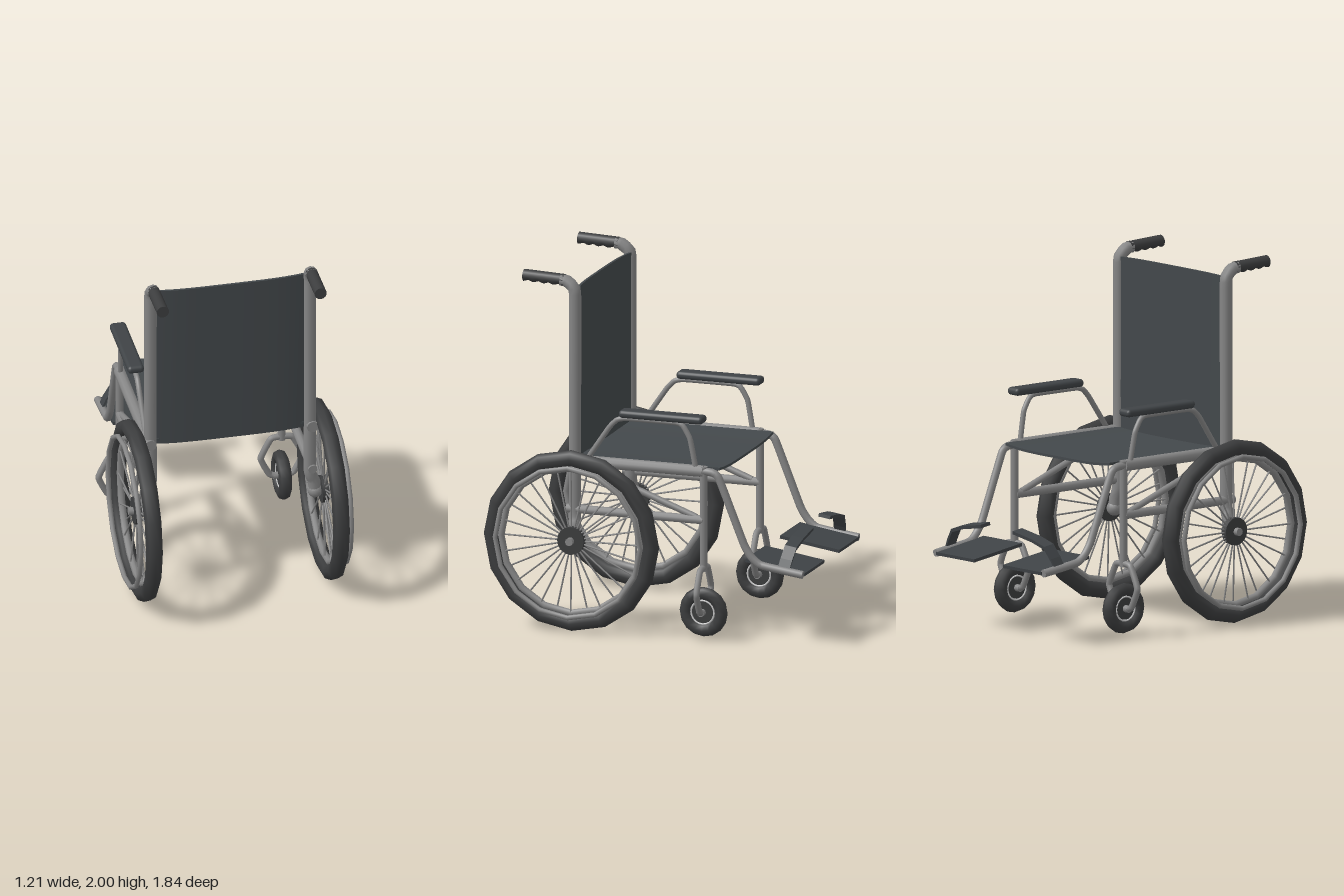
import * as THREE from 'three';
import { mergeGeometries } from 'three/addons/utils/BufferGeometryUtils.js';
import { RoundedBoxGeometry } from 'three/addons/geometries/RoundedBoxGeometry.js';

const paint = (color, side = THREE.FrontSide) => new THREE.MeshStandardMaterial({ color, side });
const metal = paint(0x868686);
const bright = paint(0xdddddd);
const rubber = paint(0x3c3d3e);
const pad = paint(0x3f4346);
const fabric = paint(0x43484b, THREE.DoubleSide);

function add(parent, name, geometry, material, x = 0, y = 0, z = 0) {
  const mesh = new THREE.Mesh(geometry, material);
  mesh.name = name;
  mesh.position.set(x, y, z);
  parent.add(mesh);
  return mesh;
}

// Round bar through a list of [x, y, z] points, closed at both ends
function bar(parent, name, points, r) {
  const pts = points.map(p => new THREE.Vector3(...p));
  const straight = pts.length === 2;
  const curve = straight ? new THREE.LineCurve3(...pts) : new THREE.CatmullRomCurve3(pts, false, 'catmullrom', 0.2);
  const parts = [new THREE.TubeGeometry(curve, straight ? 1 : pts.length * 6, r, 10)];
  for (const t of [0, 1]) {
    const out = curve.getTangentAt(t).multiplyScalar(t ? 1 : -1);
    const turn = new THREE.Quaternion().setFromUnitVectors(new THREE.Vector3(0, 0, 1), out);
    const cap = new THREE.CircleGeometry(r, 10).applyQuaternion(turn);
    const end = curve.getPointAt(t);
    parts.push(cap.translate(end.x, end.y, end.z));
  }
  return add(parent, name, mergeGeometries(parts), metal);
}

// Ring and disc whose axis runs along x
const ring = (R, r, sides, around) => new THREE.TorusGeometry(R, r, sides, around).rotateY(Math.PI / 2);
const disc = (r, width, sides = 16) => new THREE.CylinderGeometry(r, r, width, sides).rotateZ(Math.PI / 2);

function rearWheel(s) {
  const wheel = new THREE.Group();
  wheel.name = 'rearWheel';
  wheel.position.set(s * 0.525, 0.515, 0.41);
  add(wheel, 'tyre', ring(0.464, 0.047, 8, 16), rubber);
  add(wheel, 'rim', ring(0.41, 0.02, 8, 16), metal);
  add(wheel, 'pushRim', ring(0.422, 0.014, 8, 16), metal, s * 0.066);
  add(wheel, 'hub', disc(0.078, 0.035), rubber);
  add(wheel, 'axle', disc(0.022, 0.1, 10), metal, -s * 0.005);
  add(wheel, 'axleMount', new THREE.SphereGeometry(0.043, 14, 10), metal, -s * 0.045);
  const spokes = [];
  const count = 28;
  for (let i = 0; i < count; i++) {
    const spoke = new THREE.CylinderGeometry(0.005, 0.005, 0.35, 5);
    spoke.translate(0, 0.235, 0).rotateZ(i % 2 ? 0.03 : -0.03);
    spokes.push(spoke.rotateX((i / count) * Math.PI * 2));
  }
  add(wheel, 'spokes', mergeGeometries(spokes), metal);
  return wheel;
}

function caster(s) {
  const group = new THREE.Group();
  group.name = 'caster';
  group.position.set(s * 0.455, 0.16, -0.335);
  add(group, 'casterTyre', ring(0.103, 0.037, 8, 16), rubber);
  add(group, 'casterDisc', disc(0.07, 0.035), rubber);
  add(group, 'casterAxle', disc(0.02, 0.1, 10), metal);
  for (const d of [-1, 1]) {
    add(group, 'casterRim', ring(0.067, 0.005, 6, 20), bright, d * 0.018);
    bar(group, 'casterFork', [[0, 0.25, 0], [d * 0.06, 0.24, 0], [d * 0.118, 0.12, 0],
      [d * 0.068, 0.012, 0], [d * 0.025, 0, 0]], 0.018);
  }
  return group;
}

function footrest(s) {
  const group = new THREE.Group();
  group.name = 'footrest';
  group.position.set(0, 0.44, -0.745);
  group.rotation.x = -0.15;
  add(group, 'footPlate', new THREE.BoxGeometry(0.32, 0.018, 0.35), pad, s * 0.28);
  // Curved strap over the plate, as a strip with thickness
  const line = [[0.465, 0], [0.435, 0.06], [0.39, 0.125], [0.29, 0.155], [0.135, 0.181]];
  const outline = [...line, ...line.map(([x, y]) => [x - 0.004, y - 0.018]).reverse()];
  const shape = new THREE.Shape(outline.map(([x, y]) => new THREE.Vector2(s * x, y)));
  const strap = new THREE.ExtrudeGeometry(shape, { depth: 0.068, bevelEnabled: false });
  add(group, 'footStrap', strap, pad, 0, 0, -0.09);
  return group;
}

// Hand grip along z: plain on top, finger grooves underneath
function grip() {
  const length = 0.235;
  const geo = new THREE.CylinderGeometry(0.034, 0.034, length, 14, 24).rotateX(Math.PI / 2);
  const p = geo.attributes.position;
  for (let i = 0; i < p.count; i++) {
    const groove = 1 - Math.cos((p.getZ(i) / length + 0.5) * Math.PI * 8);
    if (p.getY(i) < 0) p.setY(i, p.getY(i) * (1 - 0.14 * groove));
  }
  geo.computeVertexNormals();
  return geo.rotateX(-0.04);
}

function sideFrame(s) {
  const side = new THREE.Group();
  side.name = s > 0 ? 'leftSide' : 'rightSide';
  const x = s * 0.45;
  bar(side, 'backPost', [[s * 0.478, 0.515, 0.41], [s * 0.472, 0.58, 0.412], [s * 0.448, 0.65, 0.417],
    [s * 0.448, 1.2, 0.417], [s * 0.447, 1.88, 0.417], [s * 0.445, 1.93, 0.43], [s * 0.443, 1.96, 0.47],
    [s * 0.443, 1.963, 0.5]], 0.035);
  add(side, 'handGrip', grip(), rubber, s * 0.443, 1.967, 0.598);
  bar(side, 'seatRail', [[s * 0.455, 0.953, 0.462], [s * 0.455, 0.953, -0.335]], 0.033);
  bar(side, 'lowerRail', [[s * 0.455, 0.678, 0.462], [s * 0.455, 0.678, -0.335]], 0.025);
  bar(side, 'diagonalBrace', [[x, 0.945, 0.4], [x, 0.69, -0.29]], 0.018);
  bar(side, 'frontPost', [[s * 0.455, 0.98, -0.335], [s * 0.455, 0.39, -0.335]], 0.022);
  bar(side, 'armSupport', [[s * 0.46, 0.97, 0.34], [s * 0.465, 1.16, 0.21], [s * 0.465, 1.205, 0.165],
    [s * 0.465, 1.217, 0.11], [s * 0.465, 1.217, -0.18], [s * 0.465, 1.2, -0.22],
    [s * 0.465, 1.13, -0.26], [s * 0.46, 0.97, -0.29]], 0.015);
  add(side, 'armPad', new RoundedBoxGeometry(0.092, 0.044, 0.49, 2, 0.02), pad, s * 0.466, 1.247, -0.1);
  bar(side, 'footrestHanger', [[s * 0.457, 0.955, -0.32], [s * 0.457, 0.95, -0.385], [s * 0.457, 0.92, -0.425],
    [s * 0.455, 0.56, -0.57], [s * 0.455, 0.49, -0.615], [s * 0.452, 0.449, -0.67], [s * 0.45, 0.415, -0.912]], 0.022);
  side.add(rearWheel(s), caster(s), footrest(s));
  return side;
}

// Cloth panel lying in x-z that sags toward -y in the middle
function sling(width, length, sag) {
  const geo = new THREE.BoxGeometry(width, 0.014, length, 14, 1, 1);
  const p = geo.attributes.position;
  for (let i = 0; i < p.count; i++) {
    const t = (2 * p.getX(i)) / width;
    p.setY(i, p.getY(i) - sag * (1 - t ** 4));
  }
  geo.computeVertexNormals();
  return geo;
}

export function createModel() {
  const chair = new THREE.Group();
  chair.name = 'wheelchair';
  for (const s of [-1, 1]) chair.add(sideFrame(s));
  add(chair, 'seat', sling(0.87, 0.84, 0.018), fabric, 0, 0.968, 0);
  // The back panel is the same cloth stood upright, bowing backward
  const back = sling(0.85, 0.985, 0.022).rotateX(-Math.PI / 2);
  add(chair, 'backrest', back, fabric, 0, 1.428, 0.408);
  return chair;
}
